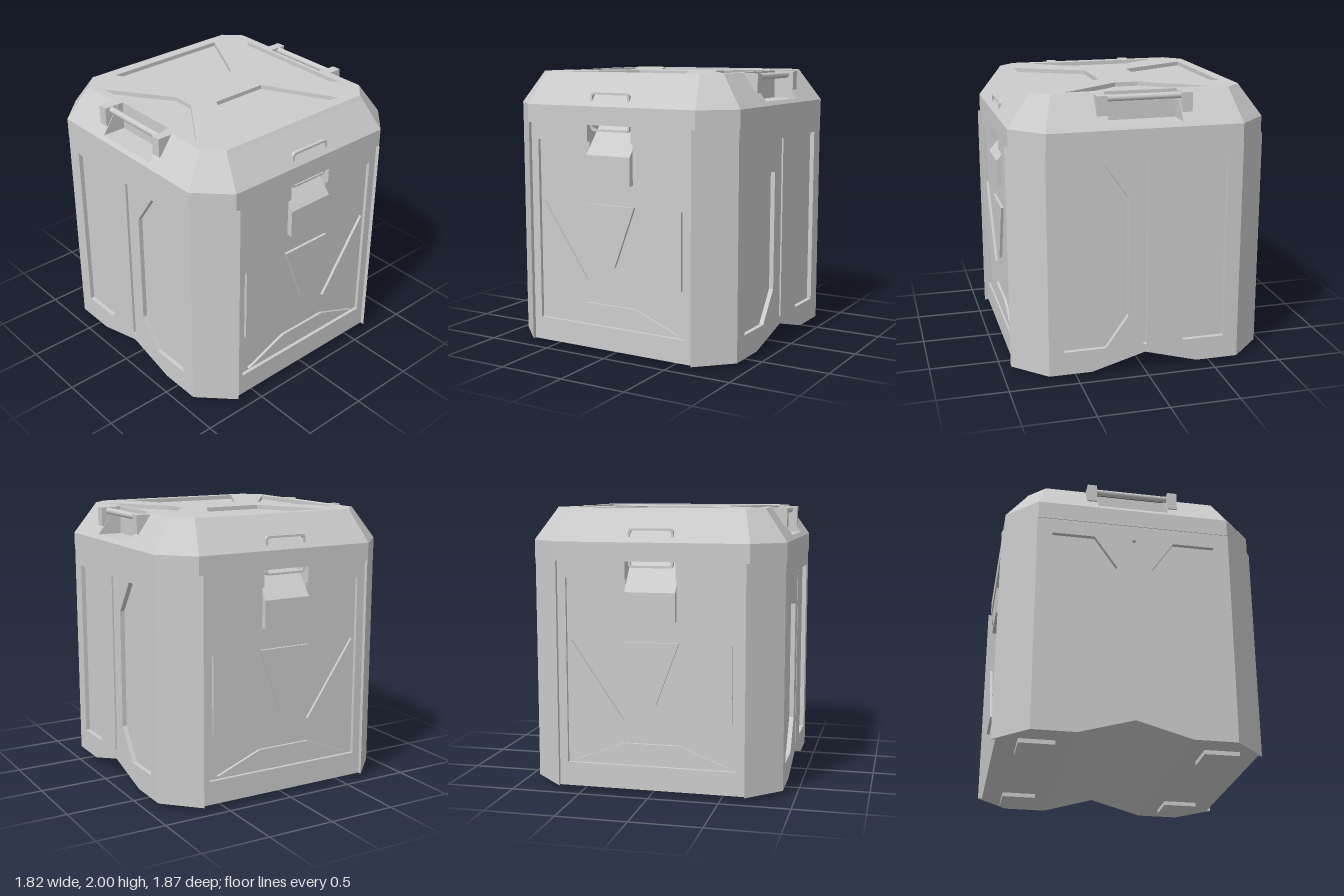
import * as THREE from 'three';
import { ConvexGeometry } from 'three/addons/geometries/ConvexGeometry.js';

const grey = new THREE.MeshStandardMaterial({ color: 0xcccccc });
grey.name = 'lightGrey';

const toPath = (pts) => pts.map(([a, b]) => new THREE.Vector2(a, b));
const flipX = (pts) => pts.map(([a, b]) => [-a, b]);
const flipY = (pts) => pts.map(([a, b]) => [a, -b]);
const rect = (a0, b0, a1, b1) => [[a0, b0], [a1, b0], [a1, b1], [a0, b1]];

// Extrude an outline with holes between two levels, along z, x or y
function slab(pts, from, to, holes = []) {
  const shape = new THREE.Shape(toPath(pts));
  for (const h of holes) shape.holes.push(new THREE.Path(toPath(h)));
  const g = new THREE.ExtrudeGeometry(shape, { depth: to - from, bevelEnabled: false, curveSegments: 6 });
  return g.translate(0, 0, from);
}
const alongX = (zy, x0, x1, holes) => slab(zy, -x1, -x0, holes).rotateY(-Math.PI / 2);
const alongY = (xz, y0, y1, holes) => slab(xz, -y1, -y0, holes).rotateX(Math.PI / 2);

function add(parent, name, geometry) {
  const m = new THREE.Mesh(geometry, grey);
  m.name = name;
  parent.add(m);
  return m;
}

function roundedRect(target, x0, y0, x1, y1, r) {
  target.moveTo(x0 + r, y0);
  target.lineTo(x1 - r, y0).quadraticCurveTo(x1, y0, x1, y0 + r);
  target.lineTo(x1, y1 - r).quadraticCurveTo(x1, y1, x1 - r, y1);
  target.lineTo(x0 + r, y1).quadraticCurveTo(x0, y1, x0, y1 - r);
  target.lineTo(x0, y0 + r).quadraticCurveTo(x0, y0, x0 + r, y0);
  return target;
}

// Front or back face: recessed panel, raised pads, latch pocket and latch ring
function createEnd() {
  const end = new THREE.Group();
  for (const s of [-1, 1]) {
    add(end, 'wall', alongX(rect(0.69, 0.03, 0.88, 1.64), s < 0 ? -0.67 : 0.18, s < 0 ? -0.18 : 0.67));
    const post = [[0.67, 0.70], [0.905, 0.70], [0.67, 0.935]];
    add(end, 'cornerPost', alongY(s < 0 ? flipX(post) : post, 0.03, 1.64));
  }
  add(end, 'latchPocket', alongX([[0.69, 0.03], [0.88, 0.03], [0.88, 1.23], [0.92, 1.23],
    [0.92, 1.43], [0.74, 1.64], [0.69, 1.64]], -0.18, 0.18));

  const half = [[0.67, 0.03], [0.67, 1.64], [0.18, 1.64], [0.18, 1.52], [0.61, 1.52], [0.61, 0.2]];
  add(end, 'panelFrame', slab([...half, ...flipX(half).reverse()], 0.875, 0.905));

  const triangle = [[0.575, 1.08], [0.2, 0.53], [0.575, 0.53]];
  const pads = [
    [[-0.2, 1.08], [0.2, 1.08], [0.035, 0.64], [-0.035, 0.64]],
    [[-0.2, 0.36], [0.2, 0.36], [0.54, 0.225], [-0.54, 0.225]],
    triangle, flipX(triangle),
  ];
  for (const p of pads) add(end, 'raisedPad', slab(p, 0.87, 0.9));

  // ring passes through the lid and shows above and below it
  const ring = roundedRect(new THREE.Shape(), -0.16, 1.595, 0.16, 1.865, 0.03);
  ring.holes.push(roundedRect(new THREE.Path(), -0.145, 1.61, 0.145, 1.85, 0.02));
  const g = new THREE.ExtrudeGeometry(ring, { depth: 0.025, bevelEnabled: false, curveSegments: 5 });
  add(end, 'latchRing', g.translate(0, 0, 0.865));
  return end;
}

// Right or left face: two recessed panels and a centre groove
function createSide() {
  const side = new THREE.Group();
  const panel = [[0.59, 1.525], [0.287, 1.525], [0.125, 1.29], [0.125, 0.43], [0.287, 0.2], [0.59, 0.2]];
  const outline = [[-0.7, 0.03], [-0.39, 0.03], [0, 0.14], [0.39, 0.03], [0.7, 0.03], [0.7, 1.64], [-0.7, 1.64]];
  add(side, 'sidePanel', alongX(outline, 0.87, 0.905, [panel, flipX(panel), rect(-0.013, 0.2, 0.013, 1.525)]));

  // carrying handle in the lid notch
  for (const s of [-1, 1]) {
    const b = new THREE.BoxGeometry(0.115, 0.135, 0.07);
    add(side, 'handleBracket', b.translate(0.8025, 1.9275, s * 0.3));
  }
  const bar = new THREE.CylinderGeometry(0.023, 0.023, 0.54, 16).rotateX(Math.PI / 2);
  add(side, 'handleBar', bar.translate(0.805, 1.97, 0));
  return side;
}

function createLid() {
  const lid = new THREE.Group();
  lid.name = 'lid';
  const Y = 1.97; // floor level of the top recesses
  const plain = [[0.91, 1.64], [0.91, 1.77], [0.77, Y]];
  const notched = [[0.91, 1.64], [0.91, 1.77], [0.889, 1.8], [0.715, 1.8], [0.715, Y]];
  const mirror = (p) => [...p, ...flipX(p).reverse()];
  add(lid, 'lidMiddle', slab(mirror(notched), -0.26, 0.26));
  for (const s of [-1, 1]) {
    add(lid, 'lidShoulder', slab(mirror(plain), s < 0 ? -0.639 : 0.26, s < 0 ? -0.26 : 0.639));
    // chamfered end
    const pts = [];
    for (const x of [-1, 1]) {
      for (const [px, y, z] of [[0.91, 1.64, 0.639], [0.91, 1.77, 0.639], [0.77, Y, 0.639],
        [0.91, 1.64, 0.695], [0.91, 1.77, 0.695], [0.69, 1.64, 0.915], [0.69, 1.77, 0.915], [0.639, Y, 0.77]]) {
        pts.push(new THREE.Vector3(x * px, y, s * z));
      }
    }
    add(lid, 'lidEnd', new ConvexGeometry(pts));
  }

  // top plate with four recesses, its lower rim spread to meet the slopes
  const quarter = [[0.715, 0.26], [0.75, 0.26], [0.75, 0.63], [0.63, 0.75]];
  const rightHalf = [...flipY(quarter).reverse(), ...quarter];
  const trapezoid = [[-0.48, 0.67], [0.48, 0.67], [0.215, 0.163], [-0.215, 0.163]];
  const wing = [[0.685, -0.51], [0.685, 0.51], [0.38, 0.083], [0.38, -0.083]];
  const top = alongY(mirror(rightHalf), Y, 2, [trapezoid, flipY(trapezoid), wing, flipX(wing)]);
  const p = top.attributes.position;
  const spread = (v) => {
    const a = Math.abs(v);
    return Math.sign(v) * (a > 0.74 ? 0.77 : a > 0.6 ? 0.639 : a);
  };
  for (let i = 0; i < p.count; i++) {
    const x = p.getX(i), z = p.getZ(i);
    if (p.getY(i) < 1.985 && Math.max(Math.abs(x), Math.abs(z)) > 0.74) {
      p.setX(i, spread(x));
      p.setZ(i, spread(z));
    }
  }
  top.computeVertexNormals();
  add(lid, 'lidTop', top);
  return lid;
}

export function createModel() {
  const model = new THREE.Group();
  model.name = 'crate';

  // core with the shallow V cut along the underside
  add(model, 'core', alongX([[-0.7, 0.03], [-0.39, 0.03], [0, 0.14], [0.39, 0.03], [0.7, 0.03],
    [0.7, 1.64], [-0.7, 1.64]], -0.872, 0.872));

  const names = [['frontFace', 'backFace'], ['leftSide', 'rightSide']];
  for (const i of [0, 1]) {
    const end = createEnd();
    const side = createSide();
    end.name = names[0][i];
    side.name = names[1][i];
    end.rotation.y = side.rotation.y = i * Math.PI;
    model.add(end, side);
  }
  model.add(createLid());

  // feet
  for (const x of [-0.6, 0.6]) {
    for (const z of [-0.635, 0.635]) {
      add(model, 'foot', new THREE.BoxGeometry(0.25, 0.04, 0.25).translate(x, 0.02, z));
    }
  }
  return model;
}
